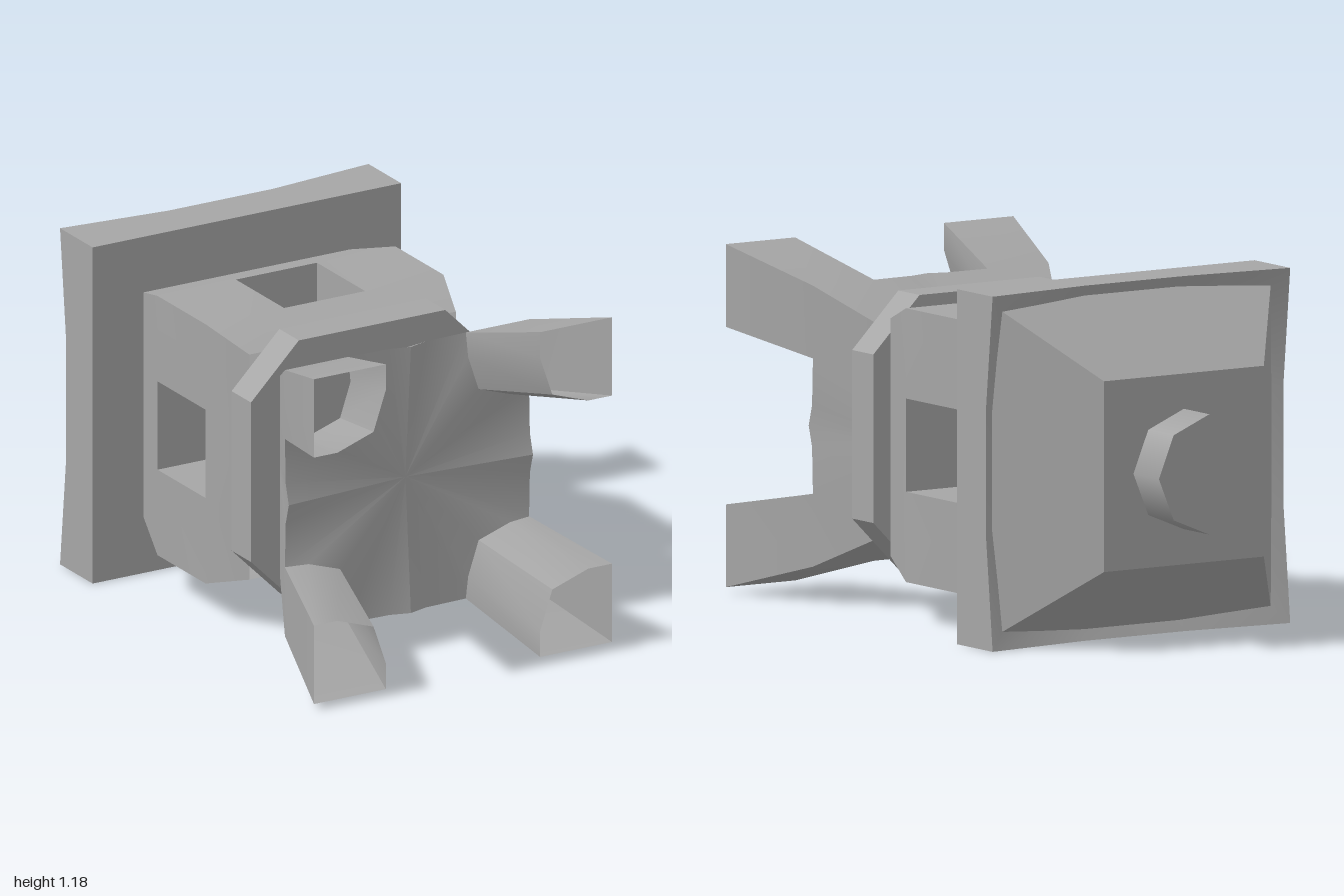
import * as THREE from 'three';
import { toCreasedNormals } from 'three/addons/utils/BufferGeometryUtils.js';

const stone = new THREE.MeshStandardMaterial({ color: 0xa6a6a6, side: THREE.DoubleSide });
stone.name = 'stone';

// A polygon collector; every face is repeated around the z axis in four quarter turns.
function faceBuilder() {
  const pos = [];
  const face = (...pts) => {
    for (let i = 1; i < pts.length - 1; i++) pos.push(...pts[0], ...pts[i], ...pts[i + 1]);
  };
  const four = (...pts) => {
    let p = pts;
    for (let k = 0; k < 4; k++) {
      face(...p);
      p = p.map(([x, y, z]) => [-y, x, z]);
    }
  };
  const mesh = (name) => {
    const g = new THREE.BufferGeometry();
    g.setAttribute('position', new THREE.Float32BufferAttribute(pos, 3));
    g.computeVertexNormals();
    return named(toCreasedNormals(g, 0.5), name);
  };
  return { face, four, mesh };
}

function named(geometry, name) {
  const m = new THREE.Mesh(geometry, stone);
  m.name = name;
  return m;
}

const square = (h, z) => [[-h, -h, z], [h, -h, z], [h, h, z], [-h, h, z]];

// Hollow legs on a flared base with a slightly wavy front edge
function makeLegs() {
  const b = faceBuilder();
  const low = 0.352, high = 0.467, z0 = 0.415, z1 = 0.64;
  const rim = [[-0.467, z1], [-0.225, z1], [-0.07, 0.645], [0, 0.665], [0.07, 0.645], [0.225, z1], [0.467, z1]]
    .map(([u, z]) => [u, high, z]);
  const foot = rim.map(([u]) => [u * low / high, low, z0]);
  for (let i = 0; i < rim.length - 1; i++) b.four(rim[i], rim[i + 1], foot[i + 1], foot[i]);

  const root = [[0.467, 0.467, z1], [0.225, 0.467, z1], [0.225, 0.385, 0.655],
    [0.265, 0.265, 0.655], [0.385, 0.225, 0.655], [0.467, 0.225, z1]];
  const tip = [[0.57, 0.57, 1], [0.295, 0.57, 1], [0.295, 0.48, 1],
    [0.342, 0.342, 1], [0.48, 0.295, 1], [0.57, 0.295, 1]];
  root.forEach((r, i) => {
    const j = (i + 1) % root.length;
    b.four(r, root[j], tip[j], tip[i]);
  });

  // front surface between the legs, fanned from the centre
  const edge = [...rim.slice(1, 6).reverse(), ...root.slice(2).map(([x, y, z]) => [-y, x, z]).reverse()];
  const nextLeg = root.slice(1).map(([x, y, z]) => [-x, y, z]);
  const outline = [...edge.slice(0, 5), ...nextLeg.slice(1)];
  for (let i = 0; i < outline.length - 1; i++) b.four([0, 0, 0.63], outline[i], outline[i + 1]);
  return b.mesh('legs');
}

// Collar with chamfered corners
function makeCollar() {
  const a = 0.463, c = 0.28;
  const shape = new THREE.Shape([[a, -c], [a, c], [c, a], [-c, a], [-a, c], [-a, -c], [-c, -a], [c, -a]]
    .map(([x, y]) => new THREE.Vector2(x, y)));
  const g = new THREE.ExtrudeGeometry(shape, { depth: 0.125, bevelEnabled: false });
  g.translate(0, 0, 0.29);
  return named(g, 'collar');
}

// Lamp chamber, bulged, with crossing square tunnels
function makeChamber() {
  const b = faceBuilder();
  const w = 0.155, R = 0.455, za = -0.2, zb = 0.11;
  const levels = [[0.395, -0.39], [R, za], [R, zb], [0.395, 0.29]];
  const across = (h) => [-h, -w, w, h];
  for (let j = 0; j < 3; j++) {
    const [h0, z0] = levels[j], [h1, z1] = levels[j + 1];
    for (let i = 0; i < 3; i++) {
      if (i === 1 && j === 1) continue;
      b.four([across(h1)[i], h1, z1], [across(h1)[i + 1], h1, z1],
        [across(h0)[i + 1], h0, z0], [across(h0)[i], h0, z0]);
    }
  }
  // tunnel walls
  b.four([-w, w, za], [-w, R, za], [-w, R, zb], [-w, w, zb]);
  b.four([w, w, zb], [w, R, zb], [w, R, za], [w, w, za]);
  b.four([-w, w, za], [w, w, za], [w, R, za], [-w, R, za]);
  b.four([-w, R, zb], [w, R, zb], [w, w, zb], [-w, w, zb]);
  b.face(...square(w, za));
  b.face(...square(w, zb).reverse());
  return b.mesh('lampChamber');
}

// Eave slab whose back rim rises to the corners
function makeEaves() {
  const b = faceBuilder();
  const h = 0.59, inner = 0.5, front = -0.39;
  const us = [-h, -0.2, 0.2, h], zs = [-0.6, -0.56, -0.56, -0.6];
  for (let i = 0; i < 3; i++) {
    const p = us[i], q = us[i + 1], k = inner / h;
    b.four([p, h, front], [q, h, front], [q, h, zs[i + 1]], [p, h, zs[i]]);
    b.four([p, h, zs[i]], [q, h, zs[i + 1]],
      [q * k, inner, zs[i + 1] + 0.045], [p * k, inner, zs[i] + 0.045]);
  }
  b.face(...square(h, front));
  return b.mesh('eaves');
}

// Sloping roof block sunk into the eaves
function makeRoof() {
  const b = faceBuilder();
  const top = 0.317, base = 0.575, zt = -0.85, zb = -0.515;
  b.four([-base, base, zb], [base, base, zb], [top, top, zt], [-top, top, zt]);
  b.face(...square(top, zt).reverse());
  return b.mesh('roof');
}

// Eight-sided knob on the roof
function makeFinial() {
  const g = new THREE.CylinderGeometry(0.2, 0.2, 0.16, 8);
  g.rotateX(-Math.PI / 2);
  g.translate(0, 0, -0.92);
  return named(g, 'finial');
}

export function createModel() {
  const model = new THREE.Group();
  model.name = 'stoneLantern';
  model.add(makeLegs(), makeCollar(), makeChamber(), makeEaves(), makeRoof(), makeFinial());
  model.children.forEach((part) => { part.position.y = 0.59; });
  return model;
}
